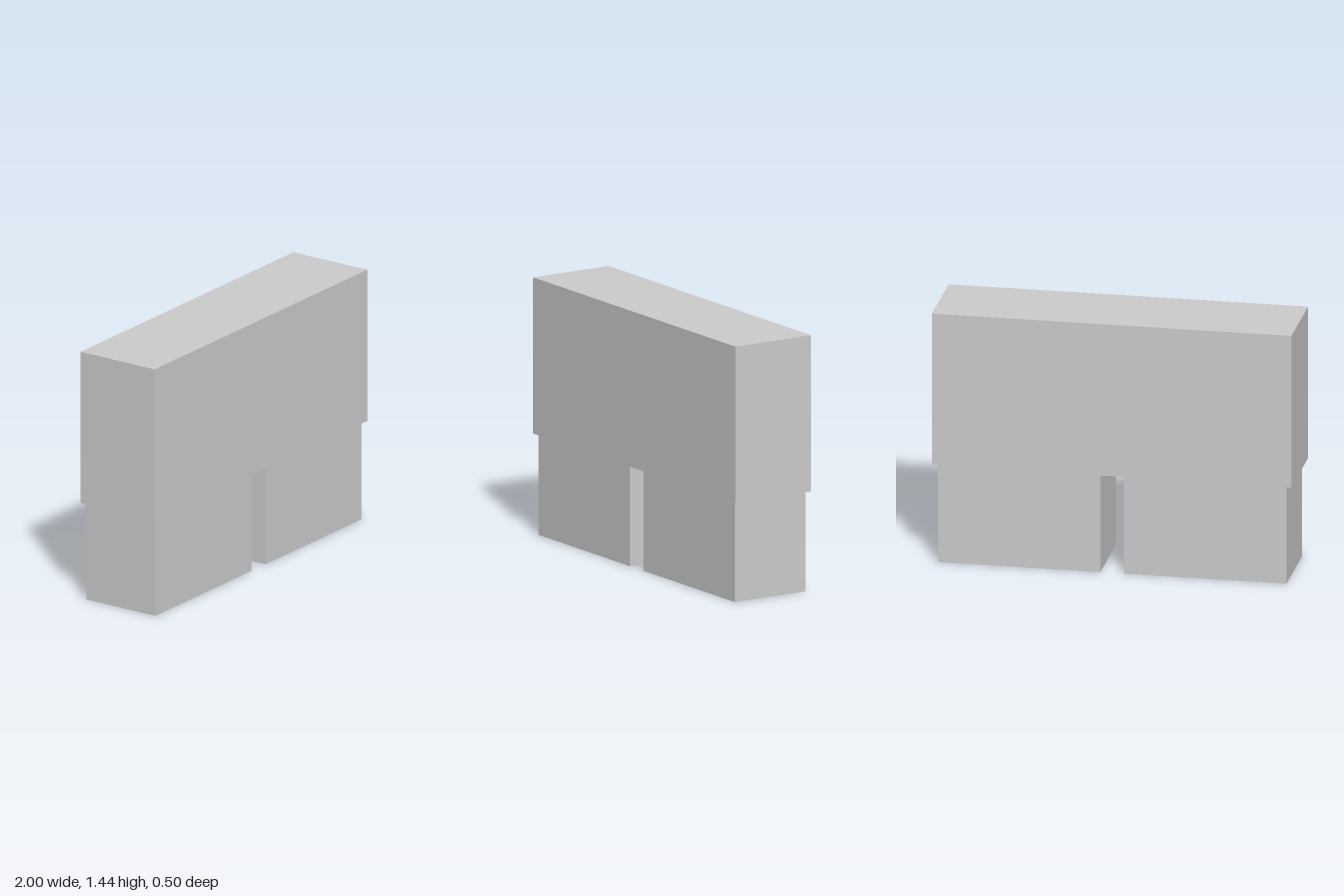
import * as THREE from 'three';

const material = new THREE.MeshStandardMaterial({ color: 0xcccccc, flatShading: true });

// Box standing on height y
function block(name, width, height, depth, x, y) {
  const mesh = new THREE.Mesh(new THREE.BoxGeometry(width, height, depth), material);
  mesh.name = name;
  mesh.position.set(x, y + height / 2, 0);
  return mesh;
}

export function createModel() {
  const model = new THREE.Group();
  model.name = 'blockOnTwoSupports';

  const supportHeight = 0.565;

  // Wide upper block
  model.add(block('upperBlock', 2, 0.877, 0.496, 0, supportHeight));

  // Two slightly inset supports with a narrow gap between them
  for (const side of [-1, 1]) {
    const name = side > 0 ? 'leftSupport' : 'rightSupport';
    model.add(block(name, 0.904, supportHeight, 0.464, side * 0.518, 0));
  }

  return model;
}
